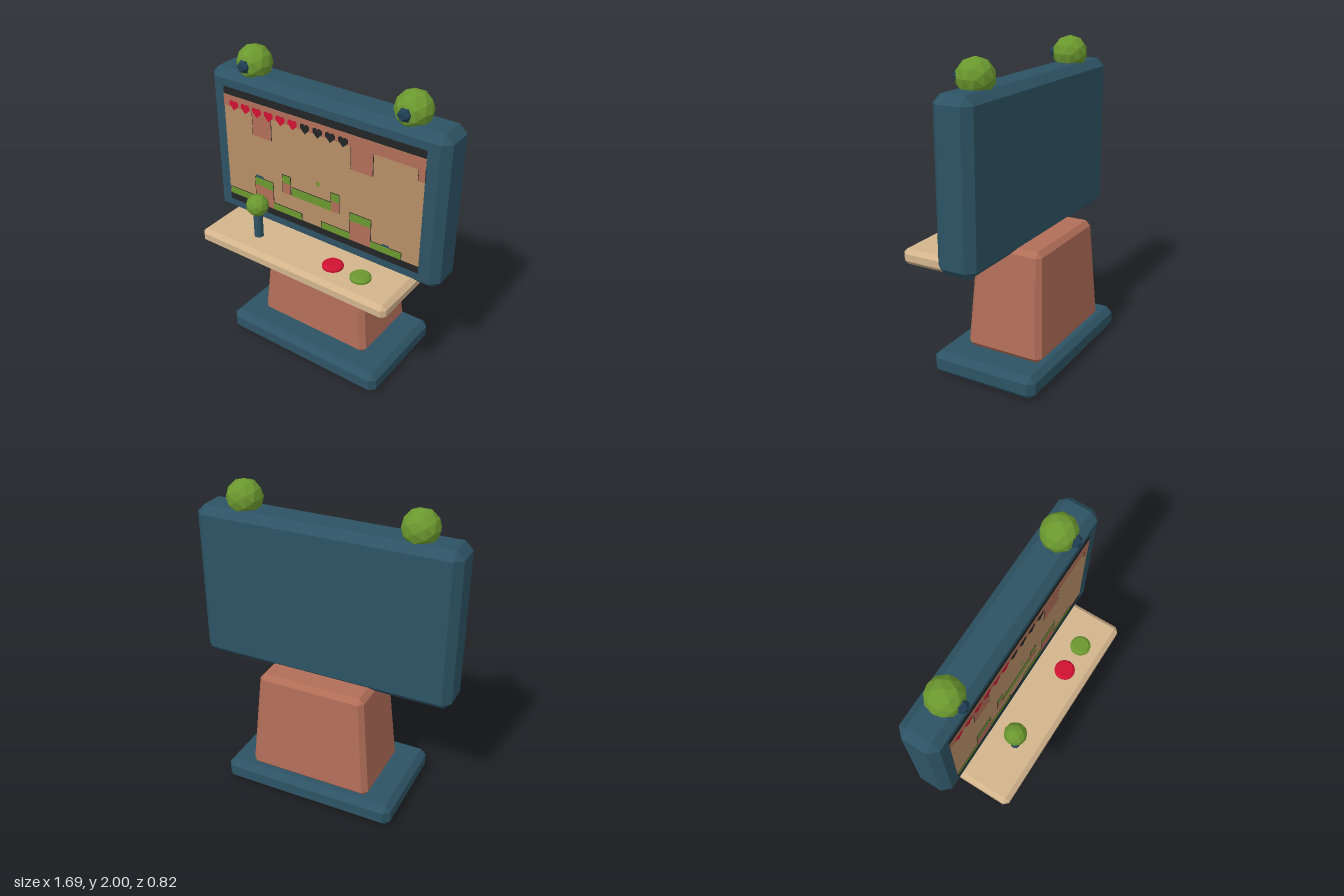
import * as THREE from 'three';
import { ConvexGeometry } from 'three/addons/geometries/ConvexGeometry.js';

const paint = (name, color) => {
  const m = new THREE.MeshStandardMaterial({ color });
  m.name = name;
  return m;
};

export function createModel() {
  const model = new THREE.Group();
  model.name = 'arcadeStand';
  const teal = paint('teal', 0x2d5364);
  const brick = paint('brick', 0xb16e58);
  const wood = paint('wood', 0xd2b48c);
  const sand = paint('sand', 0xb78f66);
  const green = paint('green', 0x6b982f);
  const red = paint('red', 0xd01233);
  const black = paint('black', 0x222426);
  const navy = paint('navy', 0x1f3d52);

  const add = (name, geometry, material, x = 0, y = 0, z = 0, parent = model) => {
    const mesh = new THREE.Mesh(geometry, material);
    mesh.name = name;
    mesh.position.set(x, y, z);
    parent.add(mesh);
    return mesh;
  };

  // Box with bevelled edges and cut corners; taper shrinks the top
  const bevelBox = (w, h, d, c, taper = 1) => {
    const points = [];
    for (const sx of [-1, 1]) for (const sy of [-1, 1]) for (const sz of [-1, 1]) {
      const X = w / 2, Y = h / 2, Z = d / 2;
      for (const [x, y, z] of [[X, Y - c, Z - c], [X - c, Y, Z - c], [X - c, Y - c, Z]]) {
        const s = 1 + (taper - 1) * (sy * y / h + 0.5);
        points.push(new THREE.Vector3(sx * x * s, sy * y, sz * z * s));
      }
    }
    return new ConvexGeometry(points);
  };

  const ball = (r, detail) => {
    const g = new THREE.IcosahedronGeometry(r, detail); // faceted
    g.computeVertexNormals();
    return g;
  };

  // Main blocks
  add('base', bevelBox(1.17, 0.15, 0.715, 0.038), teal, 0, 0.075, -0.055);
  add('pedestal', bevelBox(0.83, 0.695, 0.525, 0.033, 0.85), brick, 0, 0.4975, -0.105);
  add('controlShelf', bevelBox(1.4, 0.1, 0.455, 0.028), wood, 0, 0.805, 0.185);
  add('cabinet', bevelBox(1.69, 1.02, 0.255, 0.05), teal, 0, 1.32, -0.053);

  // Screen picture, built from thin layered faces
  const screen = new THREE.Group();
  screen.name = 'screen';
  screen.position.z = 0.0755;
  model.add(screen);
  const face = (name, material, x0, x1, y0, y1, layer) =>
    add(name, new THREE.PlaneGeometry(x1 - x0, y1 - y0), material,
      (x0 + x1) / 2, (y0 + y1) / 2, layer * 0.001, screen);
  const tile = (name, material, x0, x1, y0, y1) => {
    face(name + 'Outline', black, x0 - 0.004, x1 + 0.004, y0, y1 + 0.004, 2);
    face(name, material, x0, x1, y0, y1, 3);
  };

  face('screenBorder', black, -0.725, 0.72, 0.91, 1.73, 0);
  face('sky', sand, -0.725, 0.72, 0.96, 1.68, 1);
  face('ceiling', brick, -0.725, 0.72, 1.605, 1.68, 4);

  for (const [x0, x1] of [[-0.5, -0.355], [0.235, 0.385]]) {
    tile('hangingBlock', brick, x0, x1, 1.455, 1.61);
    tile('pillar', brick, x0, x1, 0.96, 1.1);
    tile('pillarGrass', green, x0, x1, 1.095, 1.155);
  }
  tile('hangingBlock', brick, 0.68, 0.72, 1.53, 1.61);

  for (const [x0, x1] of [[-0.715, -0.5], [-0.355, -0.13], [0.025, 0.235], [0.385, 0.6]])
    tile('groundGrass', green, x0, x1, 0.96, 1.008);

  for (const x of [-0.275, 0.095]) {
    tile('platformPost', brick, x, x + 0.06, 1.115, 1.19);
    tile('platformCap', green, x, x + 0.06, 1.19, 1.245);
  }
  tile('platform', green, -0.205, 0.095, 1.115, 1.175);
  face('floatingBlock', green, -0.015, 0.012, 1.258, 1.285, 3);
  face('creature', teal, -0.495, -0.43, 1.157, 1.175, 4);
  face('creature', teal, 0.465, 0.52, 1.01, 1.025, 4);

  // Row of life hearts
  const heart = new THREE.Shape([
    [0, -0.034], [0.034, 0], [0.034, 0.022], [0.022, 0.032], [0.01, 0.032], [0, 0.024],
    [-0.01, 0.032], [-0.022, 0.032], [-0.034, 0.022], [-0.034, 0],
  ].map(([x, y]) => new THREE.Vector2(x, y)));
  const heartGeometry = new THREE.ShapeGeometry(heart);
  for (let i = 0; i < 10; i++)
    add('heart', heartGeometry, i < 6 ? red : black, -0.643 + i * 0.0915, 1.617, 0.006, screen);

  // Eyes on top of the cabinet
  for (const x of [-0.56, 0.56]) {
    add('eye', ball(0.114, 1), green, x, 1.886, -0.042);
    add('pupil', ball(0.044, 0), navy, x, 1.888, 0.06);
  }

  // Joystick
  const stick = new THREE.CylinderGeometry(0.03, 0.03, 0.2, 12);
  add('joystickStick', stick, teal, -0.345, 0.95, 0.25);
  add('joystickKnob', ball(0.073, 1), green, -0.345, 1.083, 0.25);

  // Push buttons with bevelled rims
  const profile = [[0.05, 0], [0.066, 0.012], [0.066, 0.026], [0.05, 0.04], [0, 0.04]]
    .map(([r, y]) => new THREE.Vector2(r, y));
  const buttonGeometry = new THREE.LatheGeometry(profile, 20).toNonIndexed();
  buttonGeometry.computeVertexNormals();
  add('redButton', buttonGeometry, red, 0.24, 0.855, 0.26);
  add('greenButton', buttonGeometry, green, 0.44, 0.855, 0.26);

  return model;
}
